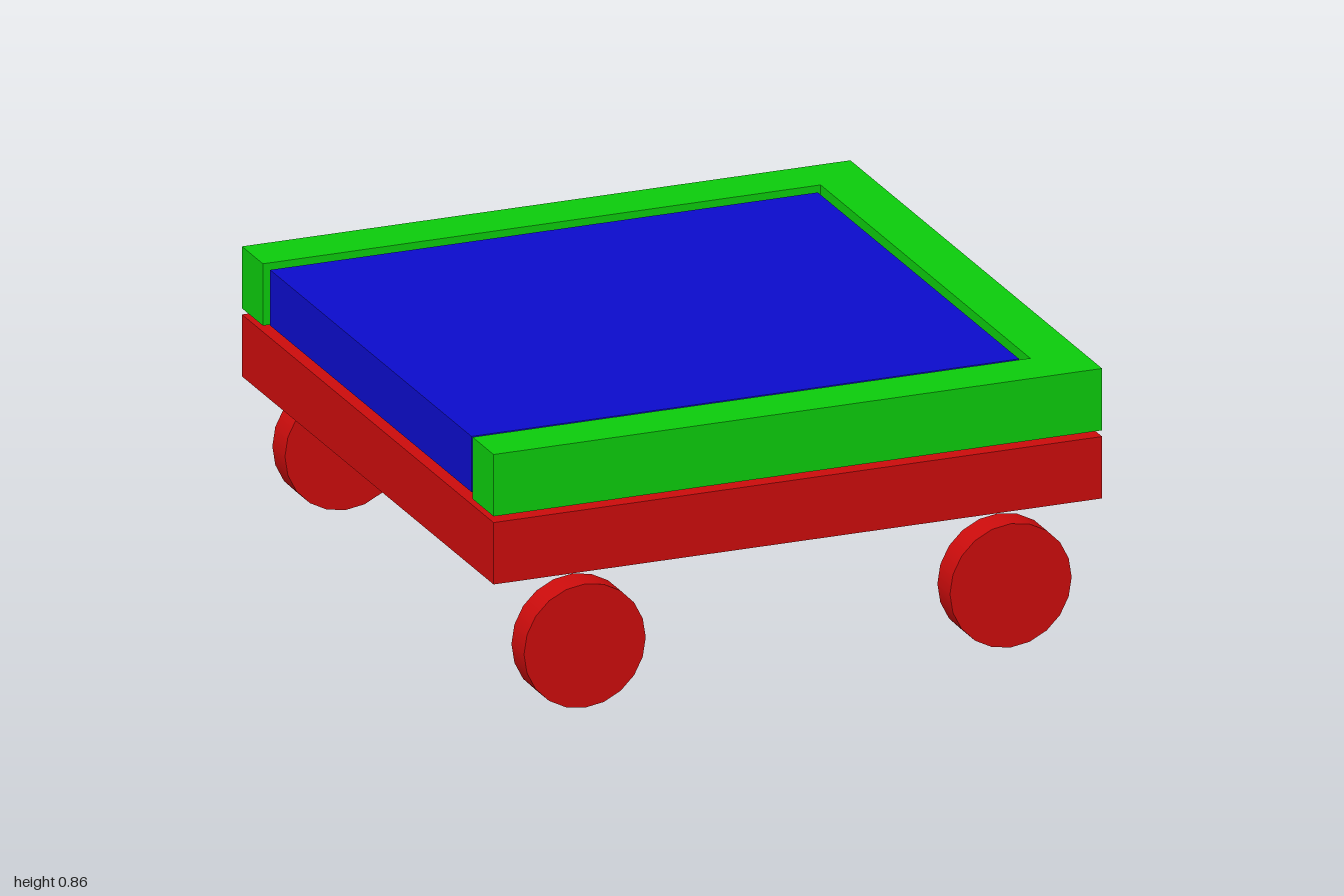
import * as THREE from 'three';

const material = (color) => new THREE.MeshStandardMaterial({ color });

// Flat outline in x/z, raised to a slab between two heights
function slab(name, outline, hole, y0, y1, mat) {
  const toPoints = (list) => list.map(([x, z]) => new THREE.Vector2(x, -z));
  const shape = new THREE.Shape(toPoints(outline));
  if (hole) shape.holes.push(new THREE.Path(toPoints(hole)));
  const geometry = new THREE.ExtrudeGeometry(shape, { depth: y1 - y0, bevelEnabled: false });
  geometry.rotateX(-Math.PI / 2);
  geometry.translate(0, y0, 0);
  const mesh = new THREE.Mesh(geometry, mat);
  mesh.name = name;
  return mesh;
}

const square = (s) => [[-s, s], [s, s], [s, -s], [-s, -s]];

export function createModel() {
  const model = new THREE.Group();
  model.name = 'cart';
  const red = material(0xcc0c0c);
  const green = material(0x0ccc0c);
  const blue = material(0x0c0ccc);
  const inner = 0.833;

  // Closed lower frame
  model.add(slab('lowerFrame', square(1), square(inner), 0.44, 0.64, red));

  // Upper frame, open at the -x end
  const uShape = [[-1, 1], [1, 1], [1, -1], [-1, -1],
    [-1, -inner], [inner, -inner], [inner, inner], [-1, inner]];
  model.add(slab('upperFrame', uShape, null, 0.66, 0.86, green));

  // Panel that slides into the open frame
  const panel = new THREE.Mesh(new THREE.BoxGeometry(1.8, 0.18, 1.6), blue);
  panel.name = 'slidingPanel';
  panel.position.set(-0.09, 0.76, 0);
  model.add(panel);

  // Four wheels
  const wheelGeometry = new THREE.CylinderGeometry(0.2, 0.2, 0.1, 20);
  wheelGeometry.rotateX(Math.PI / 2);
  for (const x of [-1, 1]) {
    for (const z of [-1, 1]) {
      const wheel = new THREE.Mesh(wheelGeometry, red);
      wheel.name = `${z > 0 ? 'front' : 'back'}${x > 0 ? 'Left' : 'Right'}Wheel`;
      wheel.position.set(x * 0.7, 0.2, z * 0.95);
      model.add(wheel);
    }
  }
  return model;
}
